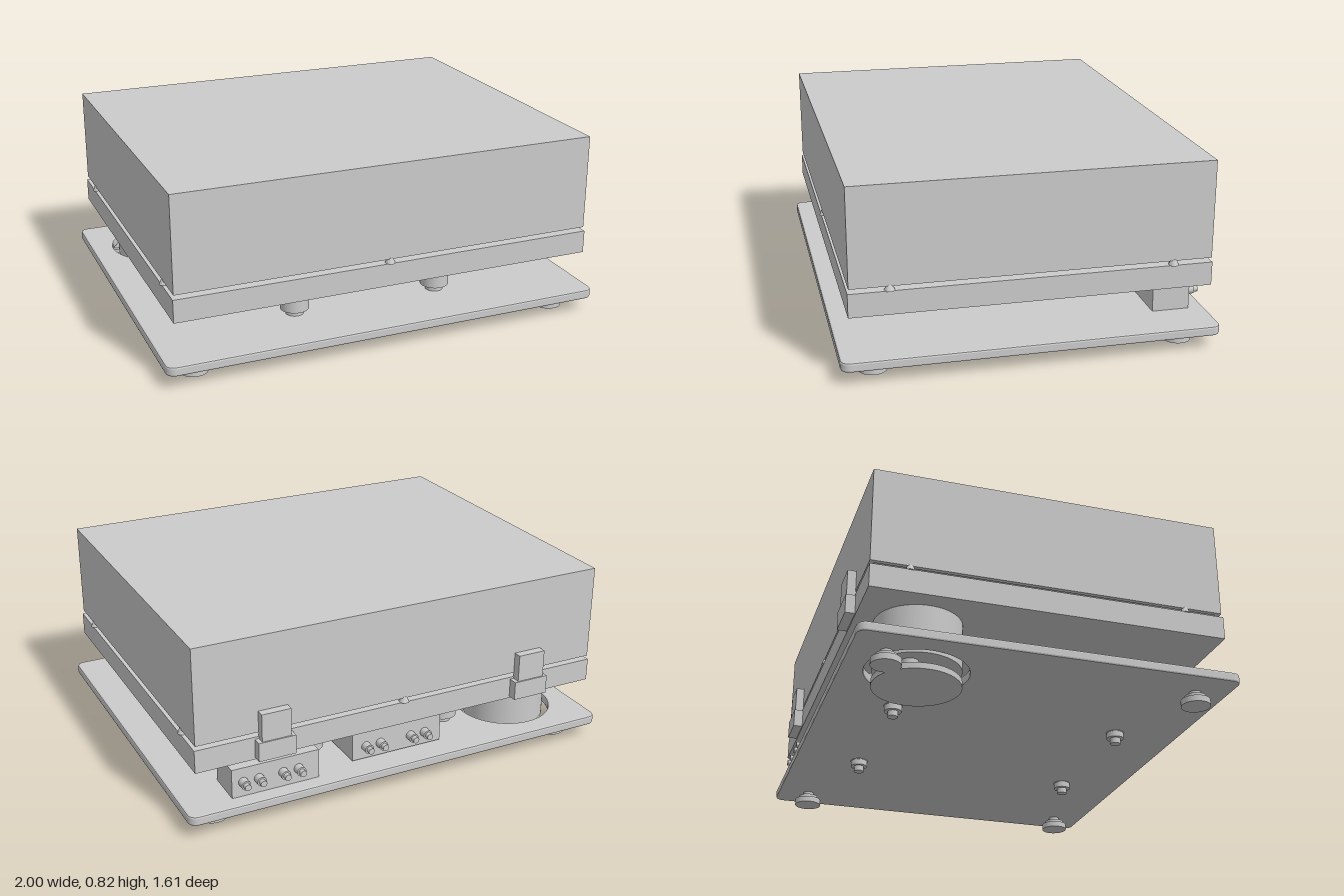
import * as THREE from 'three';

export function createModel() {
  const model = new THREE.Group();
  const mat = new THREE.MeshStandardMaterial({ color: 0xcccccc });

  function add(name, geo, x = 0, y = 0, z = 0, parent = model) {
    const m = new THREE.Mesh(geo, mat);
    m.name = name;
    m.position.set(x, y, z);
    parent.add(m);
    return m;
  }
  // box given by its min and max on each axis
  const box = (name, x0, x1, y0, y1, z0, z1, parent) =>
    add(name, new THREE.BoxGeometry(x1 - x0, y1 - y0, z1 - z0),
      (x0 + x1) / 2, (y0 + y1) / 2, (z0 + z1) / 2, parent);
  // upright cylinder between two heights
  const post = (name, x, z, y0, y1, r, rTop = r, parent = model, seg = 40) =>
    add(name, new THREE.CylinderGeometry(rTop, r, y1 - y0, seg), x, (y0 + y1) / 2, z, parent);
  // rounded rectangle centred on the origin
  function roundRect(w, d, r) {
    const s = new THREE.Shape(), a = w / 2, b = d / 2;
    s.absarc(a - r, b - r, r, 0, Math.PI / 2);
    s.absarc(-a + r, b - r, r, Math.PI / 2, Math.PI);
    s.absarc(-a + r, -b + r, r, Math.PI, Math.PI * 1.5);
    s.absarc(a - r, -b + r, r, Math.PI * 1.5, Math.PI * 2);
    s.closePath();
    return s;
  }
  // flat slab extruded upward, shape y becomes -z
  function slab(name, shape, y0, y1, bevel = 0) {
    const g = new THREE.ExtrudeGeometry(shape, {
      depth: y1 - y0 - 2 * bevel, bevelEnabled: bevel > 0, bevelSize: bevel,
      bevelOffset: -bevel, bevelThickness: bevel, bevelSegments: 2, curveSegments: 24,
    });
    g.rotateX(-Math.PI / 2);
    return add(name, g, 0, y0 + bevel, 0);
  }

  const motorX = -0.685, motorZ = -0.495;

  // base plate with the clearance hole for the motor
  const plate = roundRect(2, 1.61, 0.04);
  plate.holes.push(new THREE.Path().absarc(motorX, -motorZ, 0.215, 0, Math.PI * 2, true));
  slab('basePlate', plate, 0.063, 0.105, 0.008);

  // adjustable corner feet
  for (const x of [-0.85, 0.85]) for (const z of [-0.66, 0.66]) {
    const foot = new THREE.Group();
    foot.name = 'foot';
    model.add(foot);
    post('footPad', x, z, 0, 0.027, 0.062, 0.062, foot);
    post('footCollar', x, z, 0.027, 0.045, 0.045, 0.045, foot);
    post('footStem', x, z, 0.045, 0.075, 0.025, 0.025, foot);
  }

  // four suspension pillars reaching through the plate
  for (const x of [-0.343, 0.337]) for (const z of [-0.51, 0.512]) {
    const pillar = new THREE.Group();
    pillar.name = 'suspensionPillar';
    model.add(pillar);
    post('pillarSleeve', x, z, 0.13, 0.285, 0.064, 0.064, pillar);
    post('pillarRod', x, z, 0.06, 0.13, 0.04, 0.04, pillar);
    post('adjusterNut', x, z, 0.035, 0.065, 0.038, 0.038, pillar);
    post('adjusterTip', x, z, 0.01, 0.035, 0.023, 0.023, pillar);
  }

  // motor standing on its own foot
  const motor = new THREE.Group();
  motor.name = 'motor';
  model.add(motor);
  post('motorBody', motorX, motorZ, 0.07, 0.28, 0.185, 0.185, motor, 64);
  post('motorFoot', motorX, motorZ, 0, 0.026, 0.185, 0.185, motor, 64);
  for (let i = 0; i < 3; i++) {
    const a = Math.PI / 2 + i * Math.PI * 2 / 3;
    post('motorLeg', motorX + 0.1 * Math.cos(a), motorZ + 0.1 * Math.sin(a),
      0.026, 0.07, 0.035, 0.035, motor);
  }
  post('motorCap', motorX, motorZ, 0.38, 0.393, 0.17, 0.14, motor, 64);

  // chassis with main bearing, platter and arm mount
  box('chassis', -0.955, 0.955, 0.28, 0.382, -0.762, 0.765);
  post('bearingHousing', -0.11, 0.05, 0.14, 0.28, 0.067);
  post('bearingSpindle', -0.11, 0.05, 0.38, 0.42, 0.02);
  post('platter', -0.11, 0.05, 0.42, 0.5, 0.6, 0.6, model, 96);
  post('armMount', 0.7, -0.41, 0.38, 0.395, 0.17, 0.17, model, 64);

  // connector boxes with two pairs of sockets on the back
  function connectorBox(x0, x1, y0, y1, zBack, zFront, sockets) {
    const g = new THREE.Group();
    g.name = 'connectorBox';
    model.add(g);
    box('connectorCase', x0, x1, y0, y1, zBack, zFront, g);
    for (const x of sockets) {
      const collar = new THREE.CylinderGeometry(0.021, 0.021, 0.035, 20).rotateX(Math.PI / 2);
      const tip = new THREE.CylinderGeometry(0.014, 0.014, 0.055, 20).rotateX(Math.PI / 2);
      add('socketCollar', collar, x, 0.172, zBack - 0.0175, g);
      add('socketTip', tip, x, 0.172, zBack - 0.0275, g);
    }
  }
  connectorBox(0.395, 0.79, 0.104, 0.237, -0.735, -0.57, [0.74, 0.67, 0.56, 0.49]);
  connectorBox(-0.22, 0.215, 0.114, 0.263, -0.695, -0.21, [0.15, 0.08, -0.07, -0.14]);
  for (const x of [-0.16, 0.16]) for (const z of [-0.27, -0.63])
    post('connectorPad', x, z, 0.1, 0.115, 0.025);

  // dust cover, a hollow shell open underneath
  const wall = 0.02, cx = 0.95, cz = 0.76, y0 = 0.4, y1 = 0.825;
  const cover = new THREE.Group();
  cover.name = 'dustCover';
  model.add(cover);
  box('coverTop', -cx, cx, y1 - wall, y1, -cz, cz, cover);
  for (const s of [-1, 1]) {
    const side = box('coverSide', cx - wall, cx, y0, y1 - wall, -cz, cz, cover);
    side.position.x *= s;
    const end = box('coverEnd', -cx + wall, cx - wall, y0, y1 - wall, cz - wall, cz, cover);
    end.position.z *= s;
  }

  // small pads that hold the cover off the chassis
  const pads = [[0, 0.75], [0, -0.75], [-0.94, 0.595], [0.94, 0.595], [-0.94, -0.595], [0.94, -0.595]];
  for (const [x, z] of pads) post('coverPad', x, z, 0.38, 0.405, 0.022, 0.012);

  // hinges on the back
  for (const x of [-0.617, 0.612]) {
    const hinge = new THREE.Group();
    hinge.name = 'hinge';
    model.add(hinge);
    box('hingeLower', x - 0.083, x + 0.083, 0.288, 0.372, -0.803, -0.76, hinge);
    box('hingeUpper', x - 0.065, x + 0.065, 0.372, 0.495, -0.797, -0.758, hinge);
  }
  return model;
}
